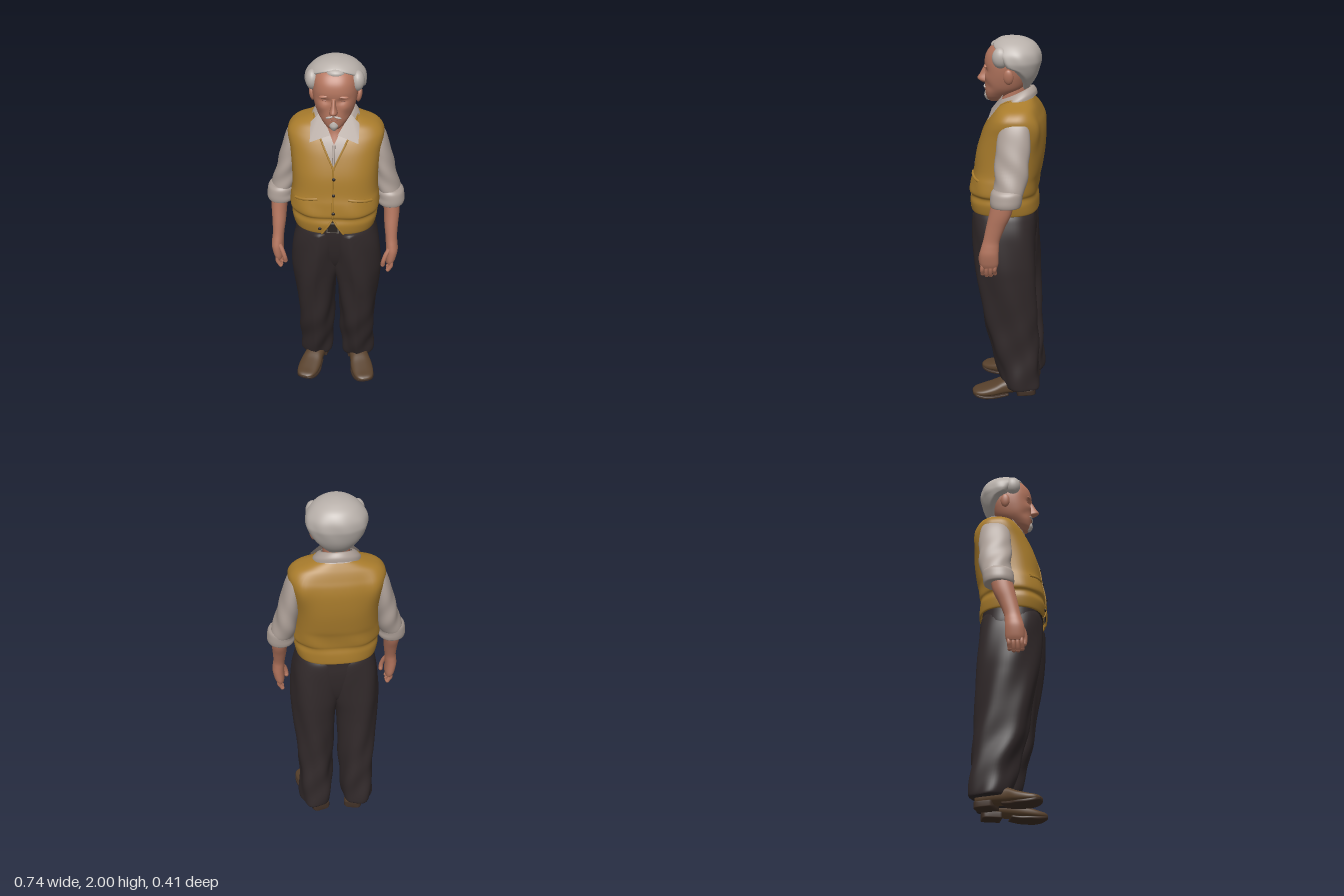
import * as THREE from 'three';

const mat = (name, color, side = THREE.FrontSide) => {
  const m = new THREE.MeshStandardMaterial({ color, side });
  m.name = name;
  return m;
};
const gauss = (d, w) => Math.exp(-((d / w) ** 2));
const full = (s) => (s.length === 4 ? [s[0], -s[1], s[1], s[2], s[3]] : s);
const mirror = (rows, s) => rows.map(full).map(([y, a, b, c, d]) => (s > 0 ? [y, a, b, c, d] : [y, -b, -a, c, d]));
const spline = (a, b, c, d, t) =>
  0.5 * (2 * b + (c - a) * t + (2 * a - 5 * b + 4 * c - d) * t * t + (3 * b - a - 3 * c + d) * t * t * t);
// angle on a ring at which the front half width equals w
const widthAngle = (w, rx, p) => Math.asin(Math.min(1, Math.max(0, w) / rx) ** (p / 2));

// point on a superellipse ring [y, x0, x1, z0, z1]; angle 0 faces the front
function ringPoint([y, x0, x1, z0, z1], t, p) {
  const f = (v) => Math.sign(v) * Math.abs(v) ** (2 / p);
  return new THREE.Vector3((x0 + x1) / 2 + ((x1 - x0) / 2) * f(Math.sin(t)), y,
    (z0 + z1) / 2 + ((z1 - z0) / 2) * f(Math.cos(t)));
}

// smooth skin over rings listed bottom to top, with an optional front opening
function loft(sections, { p = 2.3, n = 40, steps = 5, gap = null, cap = true, deform = null } = {}) {
  const s = sections.map(full), rows = [];
  for (let i = 0; i < s.length - 1; i++) {
    const q = [s[Math.max(0, i - 1)], s[i], s[i + 1], s[Math.min(s.length - 1, i + 2)]];
    for (let k = 0; k < steps; k++) rows.push(s[i].map((_, c) => spline(q[0][c], q[1][c], q[2][c], q[3][c], k / steps)));
  }
  rows.push(s[s.length - 1]);
  const cols = gap ? n + 1 : n, pos = [], idx = [];
  for (const r of rows) {
    const g = gap ? gap(r[0], (r[2] - r[1]) / 2) : 0;
    for (let j = 0; j < cols; j++) {
      const t = g + (j / n) * (2 * Math.PI - 2 * g), v = ringPoint(r, t, p);
      if (deform) deform(v, t, g, r);
      pos.push(v.x, v.y, v.z);
    }
  }
  for (let i = 0; i < rows.length - 1; i++) for (let j = 0; j < n; j++) {
    const a = i * cols + j, b = i * cols + ((j + 1) % cols);
    idx.push(a, b, b + cols, a, b + cols, a + cols);
  }
  if (cap) [0, rows.length - 1].forEach((i) => {
    const r = rows[i], c = pos.length / 3;
    pos.push((r[1] + r[2]) / 2, r[0], (r[3] + r[4]) / 2);
    for (let j = 0; j < n; j++) {
      const a = i * cols + j, b = i * cols + ((j + 1) % cols);
      if (i) idx.push(c, a, b); else idx.push(c, b, a);
    }
  });
  const geo = new THREE.BufferGeometry();
  geo.setAttribute('position', new THREE.Float32BufferAttribute(pos, 3));
  geo.setIndex(idx);
  geo.computeVertexNormals();
  geo.userData = { cols, rows: rows.length };
  return geo;
}

export function createModel() {
  const model = new THREE.Group();
  model.name = 'standingMan';
  const D = THREE.DoubleSide;
  const skin = mat('skin', 0xb3755e), hair = mat('greyHair', 0xb8b0aa, D), shirt = mat('shirtCloth', 0xac9f97, D);
  const vest = mat('mustardKnit', 0xa97c2c, D), trousers = mat('darkTrousers', 0x31292a), shoe = mat('brownLeather', 0x58412c);
  const sole = mat('darkSole', 0x403026), belt = mat('blackBelt', 0x2a2422), metal = mat('dullMetal', 0x6b645c);
  const shade = mat('lipAndLid', 0x935c4b);
  const add = (name, geo, m) => {
    const mesh = new THREE.Mesh(geo, m);
    mesh.name = name;
    model.add(mesh);
    return mesh;
  };
  const blob = (name, m, x, y, z, a, b, c, rz = 0) =>
    add(name, new THREE.SphereGeometry(1, 20, 14).scale(a, b, c).rotateZ(rz).translate(x, y, z), m);
  const tube = (name, m, pts, r) => add(name, new THREE.TubeGeometry(new THREE.CatmullRomCurve3(pts), pts.length * 2, r, 8), m);
  const V = (x, y, z) => new THREE.Vector3(x, y, z);

  // vest with a V neck, broad shoulder blades and a small parting at the hem
  const torso = [[1.075, .208, -.163, .183], [1.08, .217, -.17, .191], [1.13, .228, -.168, .197], [1.165, .225, -.162, .19],
    [1.19, .237, -.166, .198], [1.25, .234, -.172, .188], [1.3, .228, -.184, .176], [1.4, .23, -.199, .161], [1.5, .24, -.202, .128],
    [1.56, .251, -.194, .1], [1.6, .247, -.18, .075], [1.635, .215, -.166, .05], [1.66, .155, -.153, .02], [1.682, .1, -.14, 0]];
  const P = 2.6;
  const vestGeo = loft(torso, {
    p: P, n: 56, cap: false,
    gap: (y, rx) => widthAngle(y > 1.3 ? 0.5 * (y - 1.45) : 0.62 * (1.168 - y), rx, P),
    deform: (v, t) => {
      v.z += 0.004 * Math.sin(t * 7 + v.y * 20) * gauss(v.y - 1.2, 0.06);
      if (Math.cos(t) < 0) v.z -= 0.022 * gauss(Math.abs(v.x) - 0.2, 0.05) * gauss(v.y - 1.53, 0.1);
    },
  });
  add('vest', vestGeo, vest);
  const edge = (col) => {
    const a = vestGeo.attributes.position, { cols, rows } = vestGeo.userData;
    return Array.from({ length: rows }, (_, i) => new THREE.Vector3().fromBufferAttribute(a, i * cols + col));
  };
  tube('vestRightEdge', vest, edge(0), 0.005);
  tube('vestLeftEdge', vest, edge(vestGeo.userData.cols - 1), 0.005);
  const onVest = (x, y) => {
    const i = Math.max(1, torso.findIndex((r) => r[0] >= y)), a = full(torso[i - 1]), b = full(torso[i]);
    const k = (y - a[0]) / (b[0] - a[0]), r = a.map((v, c) => v + (b[c] - v) * k);
    return ringPoint(r, Math.sign(x) * widthAngle(Math.abs(x), r[2], P), P);
  };
  for (const s of [1, -1])
    tube('vestPocket', vest, [.08, .11, .14, .17, .2].map((x) => onVest(s * x, 1.3 - x * 0.2)), 0.008);
  for (const [x, y] of [[.004, 1.4], [.004, 1.31], [.004, 1.21], [-.068, 1.112]]) {
    const q = onVest(x, y);
    blob('vestButton', belt, q.x, y, q.z + 0.005, 0.009, 0.009, 0.005);
  }

  // shirt body with open neck
  add('shirtBody', loft(torso.slice(3).map(([y, x, a, b]) => [y, x - .014, a + .014, b - .012]), {
    p: P, n: 48, cap: false, gap: (y, rx) => widthAngle(0.5 * (y - 1.56), rx, P),
  }), shirt);
  tube('shirtPlacket', shirt, [V(0, 1.43, .142), V(0, 1.48, .126), V(0, 1.52, .11), V(0, 1.56, .092)], 0.007);

  // collar: tilted band and two pointed wings
  add('collarBand', loft([[1.645, .128, -.156, .07], [1.67, .122, -.152, .064], [1.698, .096, -.135, .05], [1.7, .08, -.12, .042]], {
    p: 2, cap: false, gap: () => 0.55, deform: (v) => { v.y -= (v.z + 0.04) * 0.45; },
  }), shirt);
  for (const s of [1, -1]) {
    const g = new THREE.BufferGeometry().setFromPoints([V(s * .018, 1.615, .084), V(s * .125, 1.572, .09), V(s * .126, 1.655, .025), V(s * .078, 1.705, .012)]);
    g.setIndex(s > 0 ? [0, 1, 3, 1, 2, 3] : [0, 3, 1, 1, 3, 2]);
    g.computeVertexNormals();
    add('collarWing', g, shirt);
  }

  // neck and head
  add('neck', loft([[1.5, .075, -.11, .1], [1.56, .075, -.11, .078], [1.62, .07, -.11, .055], [1.68, .07, -.11, .05], [1.74, .07, -.11, .04]], { p: 2 }), skin);
  add('head', loft([[1.655, .028, .03, .095], [1.67, .044, 0, .11], [1.69, .062, -.03, .116], [1.73, .09, -.09, .12], [1.78, .107, -.12, .118],
    [1.83, .116, -.14, .119], [1.87, .117, -.15, .121], [1.91, .113, -.15, .112], [1.945, .098, -.13, .088], [1.97, .07, -.11, .055]], {
    p: 2.35, n: 64, steps: 8, deform: (v) => {
      if (v.z < 0.03) return;
      const x = Math.abs(v.x);
      v.z -= 0.01 * gauss(x - 0.043, 0.026) * gauss(v.y - 1.822, 0.014);
      v.z += 0.005 * gauss(x - 0.058, 0.025) * gauss(v.y - 1.785, 0.02);
      v.z -= 0.008 * gauss(x - 0.07, 0.02) * gauss(v.y - 1.735, 0.025);
    },
  }), skin);
  add('nose', loft([[1.75, .012, .09, .132], [1.76, .021, .09, .15], [1.774, .02, .09, .163], [1.8, .013, .09, .147], [1.84, .011, .09, .126]], { p: 2, n: 24 }), skin);
  blob('mouth', shade, 0, 1.72, .117, .024, .003, .006);
  add('goatee', loft([[1.658, .012, .085, .115], [1.68, .024, .08, .126], [1.698, .022, .08, .124], [1.711, .01, .08, .12]], { p: 2, n: 24 }), hair);
  for (const s of [1, -1]) {
    blob('brow', skin, s * .045, 1.846, .108, .03, .008, .012, -s * 0.12);
    blob('eye', shade, s * .044, 1.82, .1, .016, .003, .006);
    blob('moustache', hair, s * .019, 1.736, .115, .022, .006, .011, -s * 0.3);
    blob('ear', skin, s * .12, 1.8, -.02, .015, .04, .026, -s * 0.15);
    blob('sideTuft', hair, s * .113, 1.898, .022, .036, .054, .044);
  }

  // hair: back and crown, open around the face and ears
  const line = [[1.7, 2.3], [1.76, 2.05], [1.8, 1.85], [1.835, 1.55], [1.85, 1.2], [1.9, 1], [1.93, .75], [1.95, .4], [1.97, 0], [2.1, 0]];
  const hairline = (y) => {
    const i = Math.max(1, line.findIndex((l) => l[0] >= y)), [a, b] = [line[i - 1], line[i]];
    return a[1] + ((b[1] - a[1]) * (y - a[0])) / (b[0] - a[0]);
  };
  add('hair', loft([[1.725, .062, -.105, -.02], [1.76, .098, -.135, .02], [1.8, .13, -.157, .06], [1.85, .152, -.172, .082], [1.88, .157, -.176, .09],
    [1.92, .148, -.17, .092], [1.96, .115, -.145, .08], [1.985, .074, -.105, .05], [1.996, .035, -.07, .02], [2, .006, -.035, -.02]], {
    p: 2.1, n: 56, gap: hairline, deform: (v, t, g, r) => {
      const s = Math.min(1, Math.min(t - g, 2 * Math.PI - g - t) / 0.35), cz = (r[3] + r[4]) / 2;
      const k = 1 - 0.27 * (1 - s) ** 3 * Math.min(1, g / 0.3) + 0.012 * Math.sin(t * 9 + v.y * 25) * gauss(v.y - 1.88, 0.06);
      v.x *= k;
      v.z = cz + (v.z - cz) * k;
    },
  }), hair);
  blob('forelock', hair, 0.005, 1.952, .05, .05, .024, .038);

  // trousers waist, belt and buckle
  add('trouserSeat', loft([[.74, .04, -.07, .05], [.8, .12, -.125, .105], [.88, .19, -.15, .14], [.98, .217, -.16, .163], [1.06, .208, -.156, .172], [1.14, .2, -.15, .168]], { p: 2.4 }), trousers);
  add('belt', loft([[1.085, .203, -.152, .178], [1.13, .201, -.151, .176]], { p: 2.4, steps: 1 }), belt);
  add('buckleFrame', new THREE.BoxGeometry(.066, .06, .008).translate(0, 1.112, .185), metal);
  add('bucklePlate', new THREE.BoxGeometry(.054, .048, .008).translate(0, 1.112, .187), belt);

  const arc = [[-.02, -.05, .05, -.022, -.008], [.03, -.058, .058, -.02, 0], [.07, -.066, .066, -.02, 0], [.12, -.063, .063, -.022, 0], [.16, -.047, .047, -.028, -.008], [.178, -.02, .02, -.032, -.018]];
  for (const s of [1, -1]) {
    // leg with soft vertical folds and a pressed crease
    add('trouserLeg', loft(mirror([[.055, .042, .208, -.193, -.005], [.08, .032, .213, -.199, .01], [.2, .024, .213, -.197, .042], [.4, .018, .219, -.183, .1],
      [.6, .006, .234, -.172, .132], [.7, -.006, .241, -.17, .148], [.8, -.03, .245, -.17, .16], [.95, -.05, .235, -.165, .172],
      [1.04, -.05, .213, -.157, .174], [1.08, -.05, .196, -.142, .166], [1.12, -.05, .18, -.12, .15]], s), {
      p: 2.1, n: 56, steps: 7, deform: (v, t) => {
        const w = (0.005 * Math.sin(5 * s * t + v.y * 9) + 0.005 * Math.sin(3 * t - v.y * 26) * gauss(v.y - 0.2, 0.25)) * Math.min(1, (1.12 - v.y) * 5);
        v.x += w * Math.sin(t);
        v.z += w * Math.cos(t) + (v.y < 1.05 && Math.cos(t) > 0 ? 0.007 * gauss(Math.sin(t), 0.12) : 0);
      },
    }).translate(.007, 0, 0), trousers);

    // shoe: upper, front sole and heel block
    const lay = (g) => g.rotateX(Math.PI / 2).rotateY(s * 0.27).translate(s * .134 + .009, 0, 0);
    add('shoeUpper', lay(loft([[-.17, -.03, .03, -.07, -.025], [-.155, -.048, .048, -.09, -.018], [-.08, -.052, .052, -.105, -.018], [0, -.055, .055, -.1, -.014],
      [.06, -.063, .063, -.076, -.01], [.12, -.06, .06, -.057, -.01], [.16, -.045, .045, -.047, -.015], [.177, -.02, .02, -.037, -.022]], { p: 2.6 })), shoe);
    add('shoeSole', lay(loft(arc, { p: 4 })), sole);
    add('shoeHeel', lay(loft([[-.172, -.038, .038, -.04, 0], [-.15, -.052, .052, -.04, 0], [-.07, -.052, .052, -.04, 0]], { p: 6 })), sole);

    // sleeve, tucked under the vest shoulder, and rolled cuff
    add('sleeve', loft(mirror([[1.2, .24, .345, -.11, .03], [1.23, .225, .35, -.125, .033], [1.3, .207, .332, -.14, .032], [1.4, .195, .306, -.148, .03],
      [1.48, .185, .285, -.15, .025], [1.54, .18, .267, -.145, .015], [1.58, .18, .248, -.135, 0], [1.605, .185, .225, -.115, -.03]], s), {
      p: 2.1, n: 44, steps: 6, deform: (v, t) => {
        const w = 0.004 * Math.sin(3 * s * t + v.y * 42) * gauss(v.y - 1.32, 0.12);
        v.x += w * Math.sin(t);
        v.z += w * Math.cos(t);
      },
    }), shirt);
    add('rolledCuff', loft(mirror([[1.165, .25, .35, -.09, .035], [1.162, .23, .366, -.108, .045], [1.18, .222, .372, -.115, .05], [1.205, .226, .37, -.118, .049],
      [1.235, .222, .364, -.12, .045], [1.252, .232, .348, -.115, .034]], s), { p: 2.1 }), shirt);

    // forearm running into the palm
    add('forearmAndPalm', loft(mirror([[.825, .285, .328, .012, .098], [.85, .282, .338, .005, .104], [.9, .282, .347, .003, .104], [.94, .28, .344, .002, .095],
      [.98, .277, .34, -.003, .084], [1.05, .268, .343, -.03, .07], [1.13, .262, .348, -.065, .052], [1.25, .25, .345, -.085, .03]], s), { p: 2.1 }), skin);
    for (let i = 0; i < 4; i++) {
      const z = .022 + i * .022, d = [.012, .002, 0, .008][i];
      tube('finger', skin, [V(s * .312, .85, z), V(s * .314, .815, z + .003), V(s * .306, .79 + d, z + .004), V(s * .297, .776 + d, z + .004)], .0115);
      blob('fingerTip', skin, s * .297, .776 + d, z + .004, .0115, .0115, .0115);
    }
    tube('thumb', skin, [V(s * .3, .92, .085), V(s * .282, .885, .1), V(s * .271, .85, .105), V(s * .268, .825, .1)], .0125);
    blob('thumbTip', skin, s * .268, .825, .1, .0125, .0145, .0125);
  }
  return model;
}
